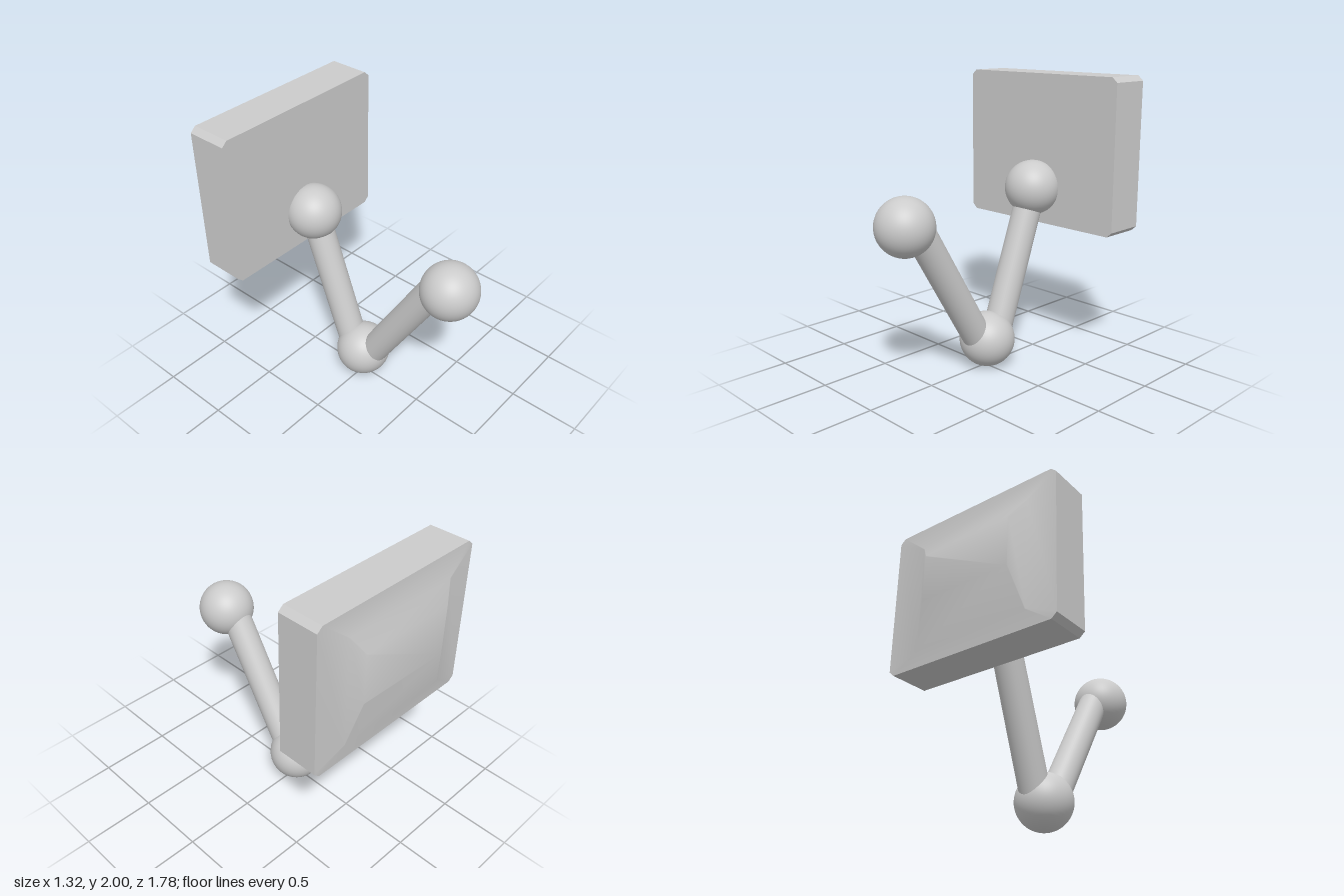
import * as THREE from 'three';
import { toCreasedNormals } from 'three/addons/utils/BufferGeometryUtils.js';

const material = new THREE.MeshStandardMaterial({ color: 0xcccccc });

function add(group, name, geometry) {
  const mesh = new THREE.Mesh(geometry, material);
  mesh.name = name;
  group.add(mesh);
  return mesh;
}

// Ball joint
function ball(group, name, y, z) {
  add(group, name, new THREE.SphereGeometry(0.193, 48, 32)).position.set(0.01, y, z);
}

// Round rod between two points given as [y, z]
function rod(group, name, from, to) {
  const a = new THREE.Vector3(0.01, ...from);
  const b = new THREE.Vector3(0.01, ...to);
  const dir = b.clone().sub(a);
  const mesh = add(group, name, new THREE.CylinderGeometry(0.101, 0.101, dir.length(), 48));
  mesh.position.copy(a).add(b).multiplyScalar(0.5);
  mesh.quaternion.setFromUnitVectors(new THREE.Vector3(0, 1, 0), dir.normalize());
}

// Rectangle with cut corners, counter-clockwise from the front; depth runs from zl (left edge) to zr
function ring(x0, x1, y0, y1, cx, cy, zl, zr = zl) {
  const points = [
    [x0 + cx, y0], [x1 - cx, y0], [x1, y0 + cy], [x1, y1 - cy],
    [x1 - cx, y1], [x0 + cx, y1], [x0, y1 - cy], [x0, y0 + cy],
  ];
  return points.map(([x, y]) => [x, y, zl + (zr - zl) * (x - x0) / (x1 - x0)]);
}

// Closed solid through rings ordered front to back
function loft(rings) {
  const n = rings[0].length;
  const index = [];
  for (let r = 0; r < rings.length - 1; r++) {
    for (let i = 0; i < n; i++) {
      const a = r * n + i, b = r * n + (i + 1) % n;
      index.push(a, a + n, b, b, a + n, b + n);
    }
  }
  const last = (rings.length - 1) * n;
  for (let i = 1; i < n - 1; i++) {
    index.push(0, i, i + 1, last, last + i + 1, last + i);
  }
  const geometry = new THREE.BufferGeometry();
  geometry.setAttribute('position', new THREE.Float32BufferAttribute(rings.flat(2), 3));
  geometry.setIndex(index);
  return toCreasedNormals(geometry, 0.7);
}

export function createModel() {
  const group = new THREE.Group();

  // Jointed V-shaped arm
  ball(group, 'lowerBall', 0.196, -0.01);
  ball(group, 'frontBall', 1.125, 0.7);
  ball(group, 'rearBall', 1.21, -0.458);
  rod(group, 'frontRod', [0.2, 0.065], [1.12, 0.615]);
  rod(group, 'rearRod', [0.2, -0.095], [1.2, -0.455]);

  // Chamfered panel with a raised, slightly tilted back cover
  add(group, 'panel', loft([
    ring(-0.66, 0.66, 0.945, 2, 0.038, 0.034, -0.525),
    ring(-0.66, 0.66, 0.945, 2, 0.038, 0.034, -0.808),
    ring(-0.45, 0.42, 1.06, 1.83, 0.004, 0.004, -0.826, -0.817),
    ring(-0.36, 0.34, 1.36, 1.71, 0.004, 0.004, -0.89, -0.876),
  ]));

  return group;
}
